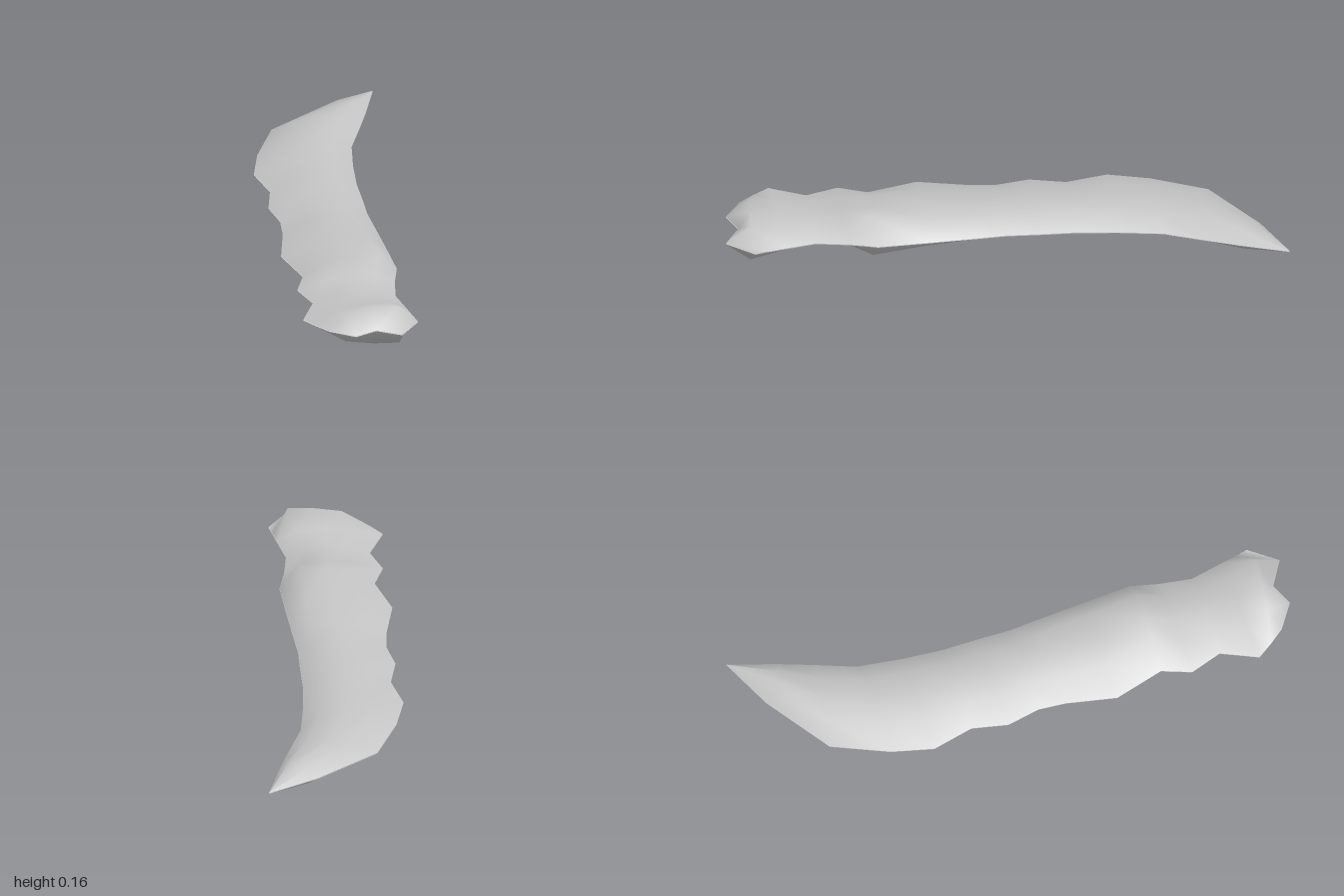
import * as THREE from 'three';

const MID = 0.081, GAP = 0.002;

// Stations from tip to butt: [left x, left z, right x, right z, ridge z, ridge height]
const stations = [
  [0.11, -0.91, 0.235, -0.82, -0.84, 0.038],
  [-0.12, -0.75, 0.19, -0.7, -0.7, 0.046],
  [-0.21, -0.55, 0.135, -0.56, -0.55, 0.046],
  [-0.25, -0.4, 0.11, -0.4, -0.4, 0.046],
  [-0.22, -0.25, 0.095, -0.25, -0.25, 0.046],
  [-0.25, -0.12, 0.092, -0.12, -0.12, 0.046],
  [-0.23, 0, 0.087, 0, 0, 0.046],
  [-0.24, 0.1, 0.092, 0.1, 0.1, 0.05],
  [-0.28, 0.28, 0.1, 0.28, 0.28, 0.058],
  [-0.235, 0.46, 0.106, 0.46, 0.47, 0.079],
  [-0.275, 0.565, 0.08, 0.56, 0.57, 0.037],
  [-0.24, 0.68, 0.06, 0.68, 0.68, 0.036],
  [-0.3, 0.81, 0.08, 0.79, 0.8, 0.036],
];

// Five points across each station: edge, shoulder, middle, ridge, edge
function crossSection([lx, lz, rx, rz, z, h]) {
  const ridge = rx - Math.min(0.07, (rx - lx) * 0.28);
  const across = (t) => lx + (ridge - lx) * t;
  const along = (t) => lz + (z - lz) * t;
  const midScale = h > 0.07 ? 0.8 : 0.97;
  return [
    [lx, 0, lz],
    [across(0.36), h * 0.8 * (h > 0.07 ? 0.9 : 1), along(0.4)],
    [across(0.68), h * midScale, along(0.75)],
    [ridge, h, z],
    [rx, 0, rz],
  ];
}

const rows = [
  Array(5).fill([0.295, 0, -0.998]),
  ...stations.map(crossSection),
  // swollen butt and its notched end
  [[-0.265, 0, 0.865], [-0.16, 0.057, 0.89], [-0.06, 0.069, 0.9], [0.03, 0.069, 0.91], [0.09, 0.0, 0.85]],
  [[-0.225, 0, 0.92], [-0.14, 0, 0.98], [-0.06, 0, 0.945], [0.025, 0, 0.998], [0.1, 0, 0.9]],
];

// One shell of the blade; side is 1 for the top, -1 for the underside
function shell(side) {
  const pos = [], idx = [];
  rows.forEach((row) => row.forEach(([x, y, z]) => pos.push(x, MID + side * (GAP + y), z)));
  const tri = (a, b, c) => idx.push(...(side > 0 ? [a, b, c] : [a, c, b]));
  for (let r = 0; r < rows.length - 1; r++) {
    for (let c = 0; c < 4; c++) {
      const a = r * 5 + c, b = a + 5;
      if (r > 0) tri(a, b, a + 1);
      tri(a + 1, b, b + 1);
    }
  }
  const geo = new THREE.BufferGeometry();
  geo.setAttribute('position', new THREE.Float32BufferAttribute(pos, 3));
  geo.setIndex(idx);
  geo.computeVertexNormals();
  return geo;
}

export function createModel() {
  const group = new THREE.Group();
  group.name = 'carvedBlade';
  const stone = new THREE.MeshStandardMaterial({ color: 0xc6c6c6, side: THREE.DoubleSide });
  stone.name = 'pale grey';
  for (const [name, side] of [['topShell', 1], ['bottomShell', -1]]) {
    const mesh = new THREE.Mesh(shell(side), stone);
    mesh.name = name;
    group.add(mesh);
  }
  return group;
}
